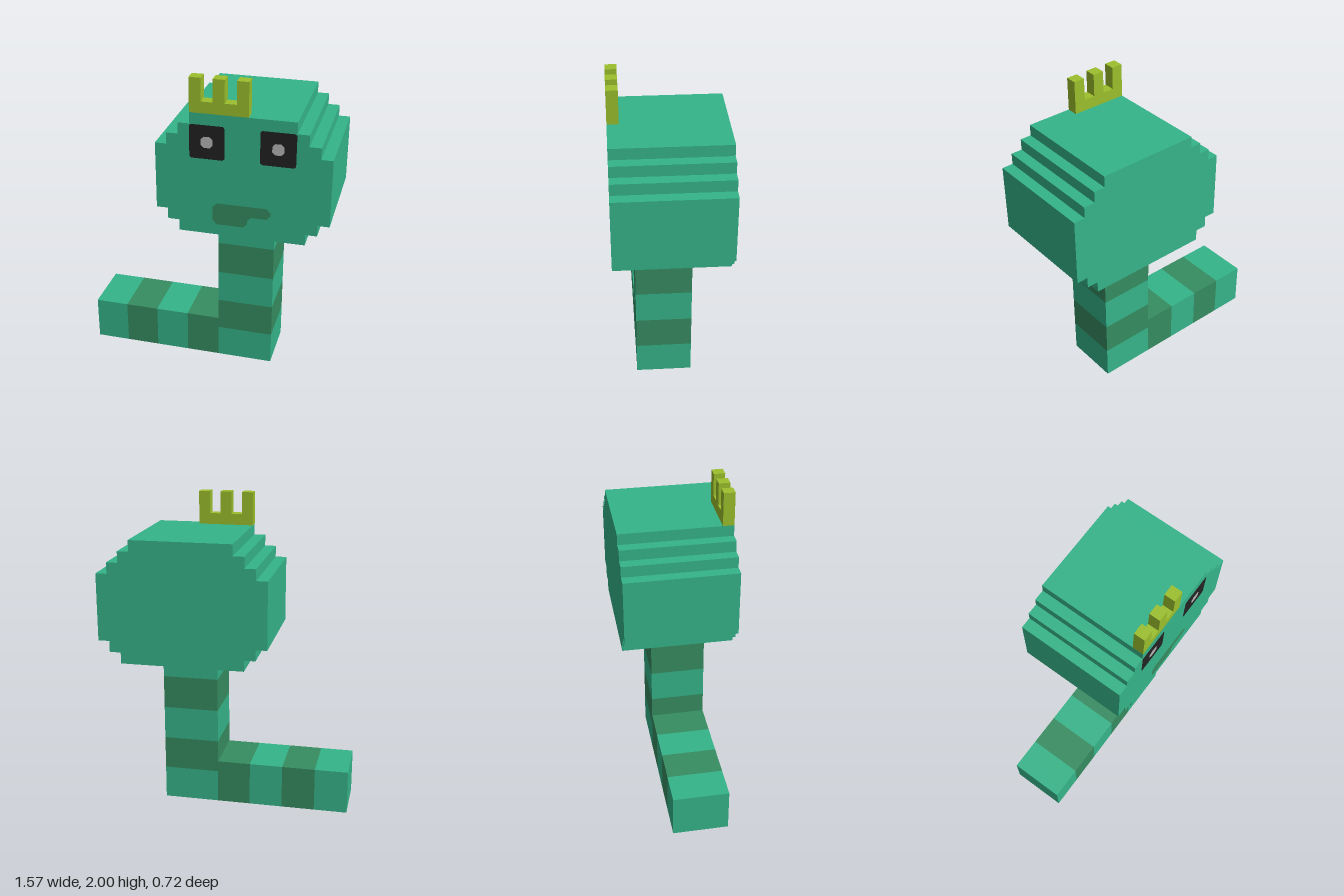
import * as THREE from 'three';

// One block of the grid; all part sizes below are counted in blocks.
const U = 1 / 14;

const mat = (name, color) => {
  const m = new THREE.MeshStandardMaterial({ color });
  m.name = name;
  return m;
};

// Closed outline from block coordinates, with each corner cut by c blocks.
function outline(points, c = 0) {
  const out = [];
  const n = points.length;
  points.forEach(([x, y], i) => {
    const p = new THREE.Vector2(x, y);
    if (!c) return out.push(p.multiplyScalar(U));
    for (const j of [(i + n - 1) % n, (i + 1) % n]) {
      const d = new THREE.Vector2(...points[j]).sub(p).setLength(c);
      out.push(p.clone().add(d).multiplyScalar(U));
    }
  });
  return out;
}

const rect = (x0, y0, x1, y1) => [[x0, y0], [x1, y0], [x1, y1], [x0, y1]];

// Solid cut from an outline, running from z0 to z1 in blocks.
function slab(points, z0, z1) {
  const g = new THREE.ExtrudeGeometry(new THREE.Shape(outline(points)), { depth: (z1 - z0) * U, bevelEnabled: false });
  return g.translate(0, 0, z0 * U);
}

function block(x0, x1, y0, y1, z0, z1) {
  const g = new THREE.BoxGeometry((x1 - x0) * U, (y1 - y0) * U, (z1 - z0) * U);
  return g.translate((x0 + x1) / 2 * U, (y0 + y1) / 2 * U, (z0 + z1) / 2 * U);
}

export function createModel() {
  const green = mat('green skin', 0x35b489);
  const dark = mat('dark green stripe', 0x368c61);
  const yellow = mat('yellow green crown', 0x9bbf2c);
  const black = mat('black eye', 0x222222);
  const grey = mat('grey pupil', 0xb9b9b9);

  const model = new THREE.Group();
  model.name = 'snake';
  const add = (name, geometry, material, parent = model) => {
    const mesh = new THREE.Mesh(geometry, material);
    mesh.name = name;
    parent.add(mesh);
    return mesh;
  };

  // Head: stepped profile, mirrored about its middle at x = 3.5 blocks
  const half = [[9, 14], [9, 15], [10, 15], [10, 16], [11, 16], [11, 22],
    [10, 22], [10, 23], [9, 23], [9, 24], [8, 24], [8, 25]];
  const mirrored = half.map(([x, y]) => [7 - x, y]).reverse();
  add('head', slab([...half, ...mirrored], -5, 5), green);

  // Crown with three prongs
  add('crown', slab([[-1, 25], [4, 25], [4, 28], [3, 28], [3, 26], [2, 26], [2, 28],
    [1, 28], [1, 26], [0, 26], [0, 28], [-1, 28]], 4, 5), yellow);

  // Face: thin painted plates
  const plate = (name, points, cut, lift, material, parent) => {
    const g = new THREE.ShapeGeometry(new THREE.Shape(outline(points, cut)));
    add(name, g.translate(0, 0, 5 * U + lift), material, parent);
  };
  for (const [side, x] of [['right', -1], ['left', 5]]) {
    const eye = new THREE.Group();
    eye.name = side + 'Eye';
    model.add(eye);
    plate('eyeball', rect(x, 21, x + 3, 24), 0.15, 0.003, black, eye);
    plate('pupil', rect(x + 1, 22, x + 2, 23), 0.25, 0.006, grey, eye);
  }
  plate('mouth', [[1, 15], [4, 15], [4, 16], [6, 16], [6, 17], [1, 17]], 0.35, 0.003, dark);

  // Neck: banded column
  [0, 3, 6, 9, 12, 14].forEach((y, i, a) => {
    if (i) add('neckBand' + i, block(1, 6, a[i - 1], y, -2, 3), i % 2 ? green : dark);
  });

  // Tail: banded bar on the ground; bands stay plain underneath
  const underside = [green, green, green, green, green, green];
  [-11, -8, -5, -2, 1].forEach((x, i, a) => {
    if (!i) return;
    const c = i % 2 ? green : dark;
    const faces = underside.map((m, f) => (f === 3 ? green : c));
    add('tailBand' + i, block(a[i - 1], x, 0, 4, -2, 3), faces);
  });

  // Blotches on the belly
  const blotch = (name, points, hole) => {
    const shape = new THREE.Shape(outline(points, 0.3));
    if (hole) shape.holes.push(new THREE.Path(outline(hole, 0.3)));
    const g = new THREE.ShapeGeometry(shape).rotateX(Math.PI / 2).translate(0, -0.002, 0);
    add(name, g, dark);
  };
  blotch('neckBlotch', [[1, -1], [4, -1], [4, 2], [2, 2], [2, 3], [0, 3], [0, 2], [1, 2]]);
  blotch('middleBlotch', [[-2, -2], [1, -2], [1, -1], [-2, -1]]);
  blotch('tailBlotch', [[-8, -2], [-5, -2], [-5, 2], [-10, 2], [-10, -1], [-8, -1]], rect(-7, -1, -6, 1));

  return model;
}
